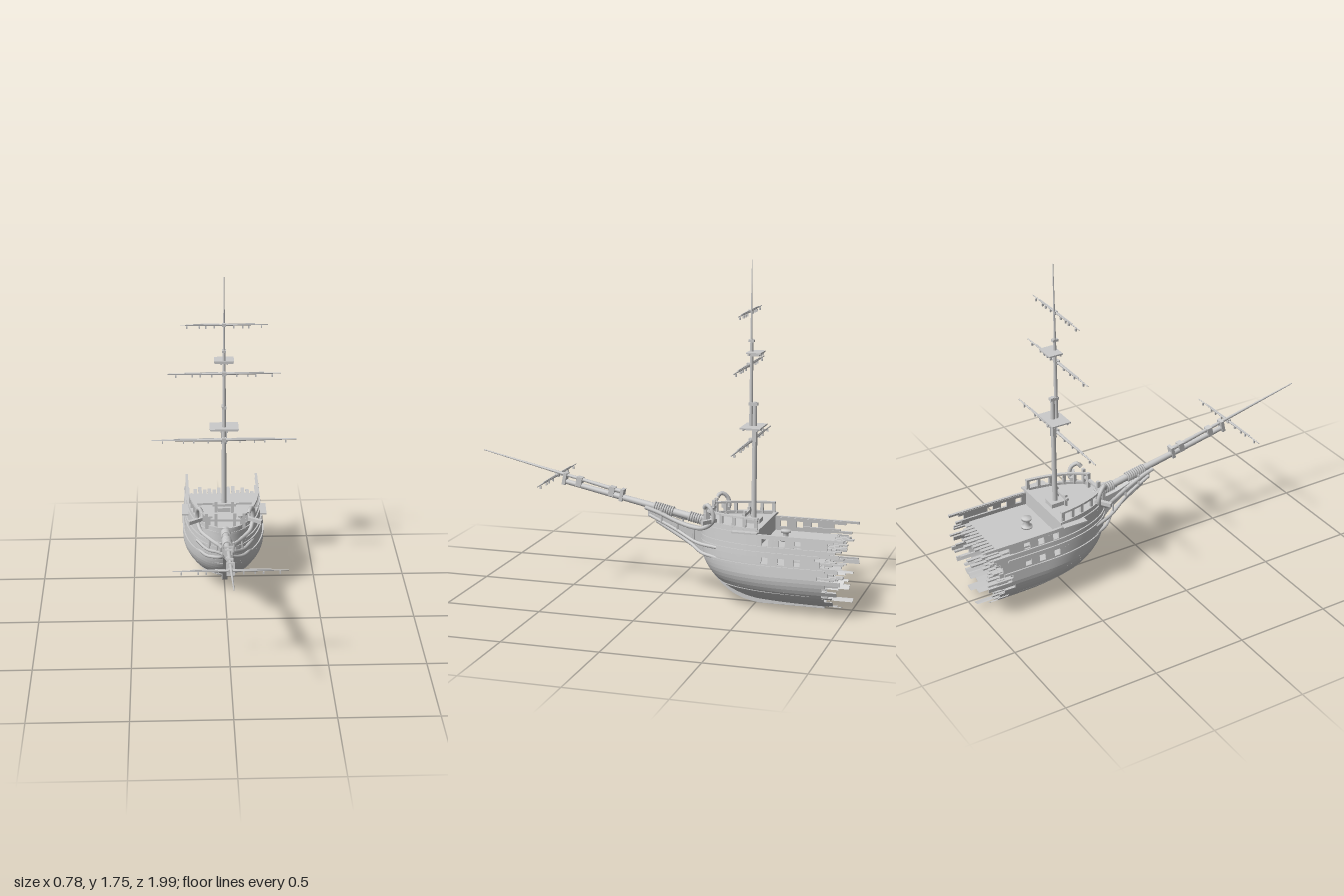
import * as THREE from 'three';

const grey = new THREE.MeshStandardMaterial({ color: 0xcccccc });
const greyThin = new THREE.MeshStandardMaterial({ color: 0xcccccc, side: THREE.DoubleSide });
const V = (x, y, z) => new THREE.Vector3(x, y, z);

let seed = 11;
const rand = (a, b) => {
  seed = (seed * 16807) % 2147483647;
  return a + (b - a) * (seed / 2147483647);
};

// Hull form: midship half width, stem line and waterline shape
const beam = y => y < 0.2
  ? 0.225 * Math.sqrt(Math.max(0, 1 - ((0.2 - y) / 0.18) ** 2))
  : 0.225 - 0.125 * (y - 0.2);
const stemZ = y => {
  const u = Math.max(0, 1 - y / 0.3);
  return -0.21 - 0.45 * (1 - Math.sqrt(1 - u * u));
};
const halfWidth = (y, z) => {
  const t = THREE.MathUtils.clamp((stemZ(y) - z) / 0.42, 0, 1);
  return beam(y) * Math.sqrt(1 - (1 - t) ** 2);
};

export function createModel() {
  const model = new THREE.Group();

  const add = (geo, name, parent = model, mat = grey) => {
    const m = new THREE.Mesh(geo, mat);
    m.name = name;
    parent.add(m);
    return m;
  };
  const group = name => {
    const g = new THREE.Group();
    g.name = name;
    model.add(g);
    return g;
  };
  const box = (name, w, h, d, x, y, z, parent) => {
    const m = add(new THREE.BoxGeometry(w, h, d), name, parent);
    m.position.set(x, y, z);
    return m;
  };
  // Round spar between two points
  const spar = (name, a, b, r0, r1, parent, sides = 12) => {
    const d = b.clone().sub(a);
    const m = add(new THREE.CylinderGeometry(r1, r0, d.length(), sides), name, parent);
    m.position.copy(a).addScaledVector(d, 0.5);
    m.quaternion.setFromUnitVectors(V(0, 1, 0), d.normalize());
    return m;
  };
  // Pair of mirrored curved timbers
  const rails = (name, pts, r, parent) => {
    for (const s of [1, -1]) {
      const curve = new THREE.CatmullRomCurve3(pts.map(p => V(s * p[0], p[1], p[2])));
      add(new THREE.TubeGeometry(curve, 36, r, 8), name, parent);
    }
  };

  // Plank that follows the hull: four faces swept from z0 aft to z1, closed at both ends
  const plank = (name, side, y0, y1, z0, z1, parent, out = 0, thick = 0.01) => {
    const pos = [], idx = [], n = 28;
    const ring = k => {
      const s = (k / n) ** 2;
      return [[y0, out], [y1, out], [y1, out - thick], [y0, out - thick]].map(([y, o]) => {
        const a = z0 ?? stemZ(y), z = a + (z1 - a) * s;
        return [side * Math.max(0, halfWidth(y, z) + o), y, z];
      });
    };
    const rings = Array.from({ length: n + 1 }, (_, k) => ring(k));
    for (let f = 0; f < 4; f++) {
      const base = pos.length / 3;
      rings.forEach(r => pos.push(...r[f], ...r[(f + 1) % 4]));
      for (let k = 0; k < n; k++) {
        const i = base + 2 * k;
        idx.push(i, i + 1, i + 2, i + 1, i + 3, i + 2);
      }
    }
    for (const r of [rings[0], rings[n]]) {
      const b = pos.length / 3;
      pos.push(...r.flat());
      idx.push(b, b + 1, b + 2, b, b + 2, b + 3);
    }
    const geo = new THREE.BufferGeometry();
    geo.setAttribute('position', new THREE.Float32BufferAttribute(pos, 3));
    geo.setIndex(idx);
    geo.computeVertexNormals();
    add(geo, name, parent, greyThin);
  };

  // Hull planking with ragged aft ends and two rows of gun ports
  const hull = group('hull');
  const rows = [0.021, 0.026, 0.035, 0.048, 0.064, 0.082, 0.102, 0.122, 0.142, 0.162, 0.182,
    0.202, 0.222, 0.242, 0.265, 0.297, 0.315, 0.335, 0.355, 0.388, 0.405];
  const ports = [-0.575, -0.66, -0.74];
  for (const side of [1, -1]) {
    for (let j = 0; j < rows.length - 1; j++) {
      const end = j % 3 === 1 ? rand(-0.99, -0.92) : rand(-0.93, -0.83);
      if (j === 14 || j === 18) {
        let start = null;
        for (const p of ports) {
          plank('portStrake', side, rows[j], rows[j + 1], start, p, hull);
          start = p - 0.034;
        }
        plank('portStrake', side, rows[j], rows[j + 1], start, end, hull);
      } else plank('hullPlank', side, rows[j], rows[j + 1], null, end, hull);
    }
    // Splintered inner battens poking out astern
    for (let k = 0; k < 9; k++) {
      const y = 0.06 + k * 0.037;
      plank('splinter', side, y, y + 0.009, -0.7, rand(-0.99, -0.88), hull, -0.008, 0.012);
    }
    // Wales, gunwale and forecastle bulwark
    for (const [y, e] of [[0.245, -0.9], [0.312, -0.87], [0.34, -0.95], [0.398, -0.99]])
      plank('wale', side, y, y + 0.012, null, e, hull, 0.007, 0.014);
    plank('bulwark', side, 0.405, 0.43, null, -0.55, hull);
    plank('bulwarkCap', side, 0.428, 0.437, null, -0.55, hull, 0.006, 0.02);
    plank('topRail', side, 0.478, 0.488, -0.25, -0.55, hull, 0.006, 0.018);
    for (const z of [-0.26, -0.3, -0.35, -0.42, -0.48, -0.54])
      box('railPost', 0.014, 0.06, 0.016, side * (halfWidth(0.45, z) - 0.005), 0.455, z, hull);
    box('channel', 0.035, 0.008, 0.13, side * 0.213, 0.418, -0.49, hull);
    // Bow bulkhead posts and catheads
    for (const x of [0.05, 0.1])
      box('bowPost', 0.016, 0.09, 0.016, side * x, 0.46, -0.255, hull);
    const cat = box('cathead', 0.09, 0.02, 0.02, side * 0.16, 0.445, -0.29, hull);
    cat.rotation.y = side * -0.6;
  }
  box('bowRail', 0.22, 0.012, 0.016, 0, 0.465, -0.255, hull);

  // Keel, stem and beakhead knee cut from one profile
  const knee = new THREE.Shape();
  const P = (z, y) => new THREE.Vector2(z, y);
  knee.moveTo(-0.86, 0);
  knee.lineTo(-0.52, 0);
  knee.splineThru([P(-0.43, 0.018), P(-0.35, 0.06), P(-0.27, 0.14), P(-0.2, 0.25), P(-0.12, 0.32), P(0, 0.385), P(0.08, 0.41)]);
  knee.lineTo(0.08, 0.445);
  knee.splineThru([P(0, 0.425), P(-0.12, 0.385), P(-0.22, 0.37)]);
  knee.lineTo(-0.24, 0.25);
  knee.splineThru([P(-0.31, 0.14), P(-0.4, 0.06), P(-0.52, 0.027)]);
  knee.lineTo(-0.86, 0.027);
  const kneeGeo = new THREE.ExtrudeGeometry(knee, { depth: 0.028, bevelEnabled: false, curveSegments: 20 });
  kneeGeo.translate(0, 0, -0.014).rotateY(-Math.PI / 2);
  add(kneeGeo, 'keelAndStem');

  // Decks following the hull outline, with broken plank ends
  const decks = group('decks');
  const deck = (name, y, end, broken) => {
    const s = new THREE.Shape(), n = 24, z0 = stemZ(y), pts = [];
    for (let k = 0; k <= n; k++) {
      const z = z0 + (end - z0) * (k / n) ** 2;
      pts.push(P(Math.max(0, halfWidth(y, z) - 0.006), -z));
    }
    s.setFromPoints([...pts, ...pts.slice(1).reverse().map(p => P(-p.x, p.y))]);
    const geo = new THREE.ExtrudeGeometry(s, { depth: 0.01, bevelEnabled: false });
    geo.rotateX(-Math.PI / 2).translate(0, y - 0.01, 0);
    add(geo, name, decks);
    if (!broken) return;
    const w = beam(y) - 0.02;
    for (let x = -w; x < w; x += 0.027) {
      const l = rand(0.01, 0.1);
      box('brokenDeckPlank', 0.02, 0.008, l + 0.04, x + 0.01, y - 0.005, end + 0.02 - l / 2, decks);
    }
  };
  deck('forecastleDeck', 0.42, -0.55, false);
  deck('mainDeck', 0.335, -0.88, true);
  deck('gunDeck', 0.225, -0.84, true);
  deck('holdDeck', 0.12, -0.82, true);
  box('forecastleBulkhead', 0.38, 0.085, 0.01, 0, 0.375, -0.545, decks);
  box('breakBeam', 0.39, 0.014, 0.018, 0, 0.425, -0.55, decks);

  // Capstan
  const capstan = add(new THREE.LatheGeometry([[0, 0], [0.03, 0], [0.03, 0.008], [0.016, 0.012], [0.014, 0.04],
    [0.026, 0.044], [0.026, 0.056], [0, 0.058]].map(p => P(...p)), 12), 'capstan');
  capstan.position.set(0, 0.335, -0.65);

  // Head rails and lower cheeks sweeping to the beakhead
  const head = group('headRails');
  rails('upperHeadRail', [[0.125, 0.505, -0.255], [0.135, 0.525, -0.27], [0.15, 0.505, -0.3], [0.15, 0.45, -0.31],
    [0.135, 0.405, -0.26], [0.085, 0.39, -0.18], [0.045, 0.405, -0.08], [0.032, 0.44, 0.02], [0.028, 0.46, 0.09]], 0.011, head);
  rails('middleHeadRail', [[0.15, 0.31, -0.33], [0.1, 0.315, -0.21], [0.045, 0.36, -0.08], [0.02, 0.42, 0.07]], 0.009, head);
  rails('cheek', [[0.155, 0.255, -0.36], [0.1, 0.262, -0.24], [0.04, 0.29, -0.16], [0.018, 0.39, 0.03]], 0.009, head);
  for (const s of [1, -1]) for (const [x, y, z] of [[0.09, 0.32, -0.19], [0.05, 0.35, -0.09], [0.035, 0.39, 0]])
    spar('headTimber', V(s * x, y, z), V(s * x * 0.95, y + 0.065, z), 0.006, 0.006, head, 6);

  // Bowsprit, jib boom, caps and rope lashings
  const bow = group('bowsprit');
  const bowY = z => 0.452 + 0.2 * z;
  spar('bowspritSpar', V(0, bowY(-0.33), -0.33), V(0, bowY(0.55), 0.55), 0.021, 0.013, bow, 16);
  spar('jibBoom', V(0, 0.525, 0.22), V(0, 0.7, 1), 0.012, 0.003, bow);
  for (const [z, y] of [[0.225, 0.51], [0.54, 0.576]]) {
    const cap = box('bowspritCap', 0.042, 0.064, 0.018, 0, y, z, bow);
    cap.rotation.x = -0.2;
  }
  for (const z of [0.28, 0.46]) {
    const band = box('boomSaddle', 0.036, 0.05, 0.03, 0, 0.513 + (z - 0.22) * 0.215, z, bow);
    band.rotation.x = -0.2;
  }
  for (const start of [-0.24, -0.05]) for (let k = 0; k < 9; k++) {
    const z = start + k * 0.012;
    const rope = add(new THREE.TorusGeometry(0.0215, 0.006, 6, 16), 'lashing', bow);
    rope.position.set(0, bowY(z), z);
    rope.rotation.x = -0.2;
  }

  // Foremast in three overlapping lengths with caps and platforms
  const mast = group('foremast');
  spar('lowerMast', V(0, 0.1, -0.482), V(0, 1.04, -0.482), 0.015, 0.011, mast, 16);
  spar('topmast', V(0, 0.9, -0.462), V(0, 1.36, -0.462), 0.01, 0.008, mast);
  spar('topgallantMast', V(0, 1.27, -0.46), V(0, 1.755, -0.46), 0.007, 0.002, mast);
  box('lowerCap', 0.024, 0.015, 0.045, 0, 1.03, -0.474, mast);
  box('upperCap', 0.02, 0.012, 0.03, 0, 1.35, -0.461, mast);
  for (const [y, w, d, z] of [[0.915, 0.155, 0.105, -0.475], [1.293, 0.105, 0.075, -0.483]]) {
    box('platform', w, 0.007, d, 0, y, z, mast);
    for (const s of [1, -1]) {
      box('trestleTree', 0.008, 0.016, d * 0.9, s * 0.016, y - 0.01, z, mast);
      box('crossTree', w * 0.95, 0.008, 0.008, 0, y - 0.008, z + s * d * 0.35, mast);
    }
  }
  for (const s of [1, -1]) {
    box('bittPost', 0.014, 0.07, 0.014, s * 0.045, 0.45, -0.445, mast);
    box('mastCheek', 0.006, 0.09, 0.02, s * 0.014, 0.86, -0.482, mast);
  }
  box('bittBeam', 0.13, 0.014, 0.014, 0, 0.465, -0.445, mast);
  box('mastPartner', 0.07, 0.025, 0.07, 0, 0.43, -0.485, mast);

  // Yards with slings and hanging blocks
  for (const [name, half, y, z, r] of [['lowerYard', 0.39, 0.842, -0.466, 0.009], ['topsailYard', 0.3, 1.227, -0.45, 0.008],
    ['topgallantYard', 0.23, 1.498, -0.452, 0.006], ['spritsailYard', 0.285, 0.59, 0.585, 0.007]]) {
    const yard = group(name);
    for (const s of [1, -1]) {
      spar('yardArm', V(0, y, z), V(s * half, y, z), r, r * 0.35, yard, 10);
      for (const f of [0.22, 0.42, 0.56, 0.85])
        box('block', 0.007, 0.014, 0.009, s * f * half, y - 0.012, z, yard);
      const batten = box('yardBatten', half * 0.6, 0.006, 0.006, s * half * 0.4, y + r * 0.6, z, yard);
      batten.rotation.z = -s * 0.008;
    }
    box('yardSling', 0.022, r * 2.6, r * 2.8, 0, y, z, yard);
  }
  return model;
}
